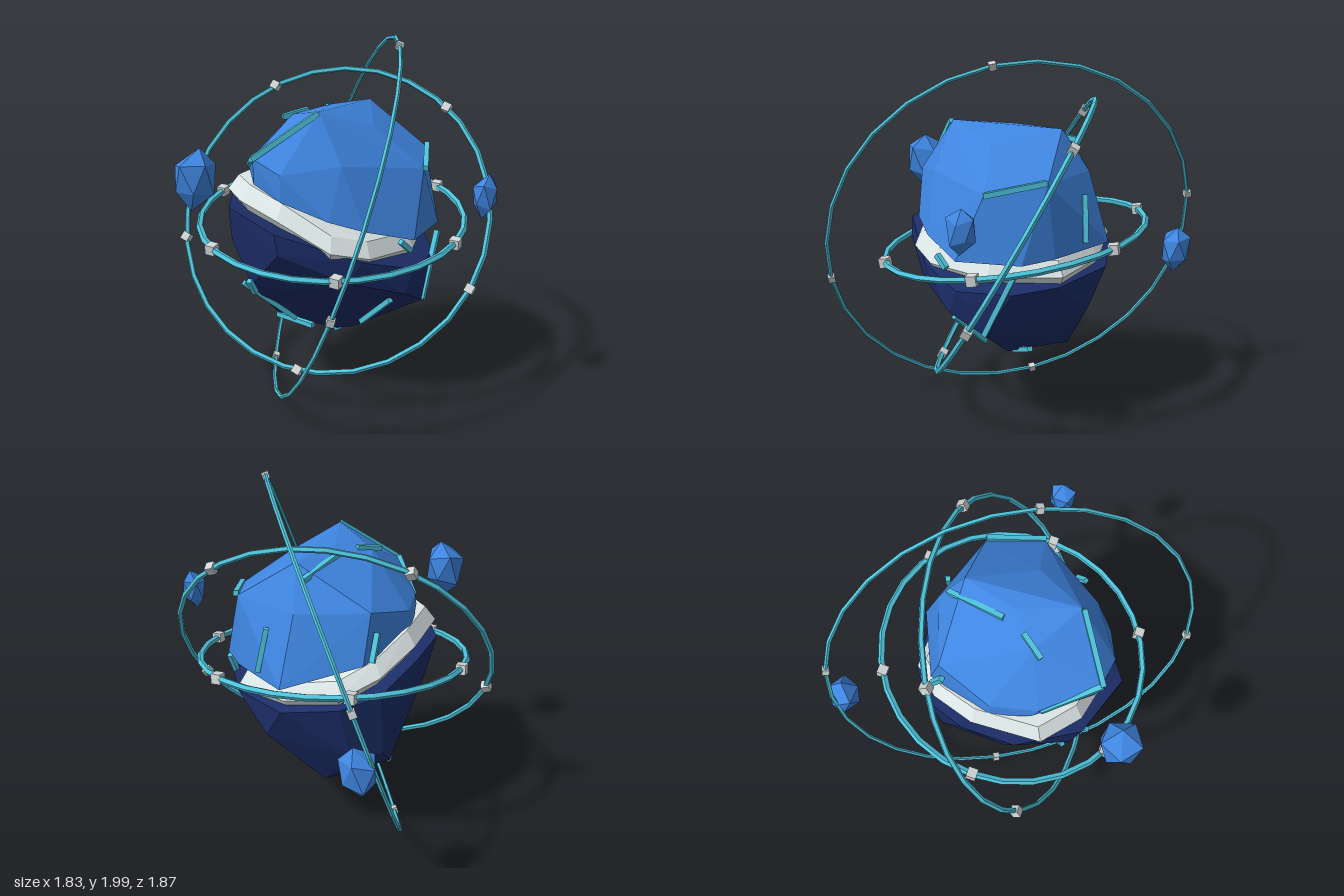
import * as THREE from 'three';
import { ConvexGeometry } from 'three/addons/geometries/ConvexGeometry.js';

const mat = (name, color) => {
  const m = new THREE.MeshStandardMaterial({ color });
  m.name = name;
  return m;
};
const V = (a) => new THREE.Vector3(...a);

export function createModel() {
  const blue = mat('bright blue', 0x3f86e2);
  const navy = mat('deep navy', 0x1c2d68);
  const pale = mat('pale core', 0xdfe9ea);
  const cyan = mat('cyan', 0x4ec4dc);
  const grey = mat('node grey', 0xd0d6d6);

  const model = new THREE.Group();
  model.name = 'splitOrb';

  const add = (parent, name, geometry, material) => {
    const mesh = new THREE.Mesh(geometry, material);
    mesh.name = name;
    parent.add(mesh);
    return mesh;
  };
  const hull = (points) => new ConvexGeometry(points.map(V));
  const faceted = (geometry) => {
    const g = geometry.toNonIndexed();
    g.computeVertexNormals();
    return g;
  };

  // Upper half: rim of the cut, shoulder, then crown
  const upper = hull([
    [-0.44, 1.28, 0.22], [-0.23, 1.28, 0.5], [-0.04, 1.22, 0.55], [0.2, 1.13, 0.48],
    [0.35, 1.07, 0.37], [0.53, 0.99, 0.15], [0.52, 0.99, -0.2], [0.38, 1.0, -0.34],
    [0.03, 1.02, -0.55], [-0.36, 1.15, -0.37], [-0.49, 1.22, 0],
    [-0.42, 1.33, 0.25], [-0.22, 1.42, 0.52], [-0.04, 1.36, 0.55], [0.22, 1.4, 0.38],
    [0.51, 1.34, 0], [0.39, 1.39, -0.3], [0.0, 1.4, -0.43], [-0.37, 1.42, -0.3], [-0.47, 1.33, 0],
    [0.06, 1.655, 0.32], [-0.04, 1.635, 0], [0.05, 1.625, -0.29], [-0.2, 1.59, 0.15],
    [0.24, 1.55, 0.05],
  ]);
  // The underside of the cut is navy
  const normals = upper.attributes.normal;
  for (let i = 0; i < normals.count; i += 3) {
    upper.addGroup(i, 3, normals.getY(i) < -0.6 ? 1 : 0);
  }
  add(model, 'upperShell', upper, [blue, navy]);

  // Pale core in the gap: a rim resting on the lower half, tapering up and down inside both halves
  const coreRim = [
    [-0.54, 1.17, -0.08], [-0.53, 1.17, 0.3], [-0.34, 1.17, 0.47], [-0.08, 1.11, 0.53],
    [0.22, 0.97, 0.5], [0.37, 0.92, 0.35], [0.46, 0.89, 0], [0.36, 0.9, -0.38],
    [0.03, 0.93, -0.5], [-0.28, 1.0, -0.49], [-0.44, 1.08, -0.33],
  ];
  add(model, 'core', hull(coreRim.flatMap(([x, y, z]) => [
    [x, y, z], [x * 0.9, y + 0.08, z * 0.9], [x * 0.85, y - 0.12, z * 0.85],
  ])), pale);

  // Lower half: rim, waist, then the pointed base
  add(model, 'lowerShell', hull([
    [-0.58, 1.13, 0.17], [-0.57, 1.12, -0.12], [-0.46, 1.0, -0.37], [-0.28, 0.94, -0.5],
    [0.03, 0.88, -0.54], [0.38, 0.85, -0.36], [0.52, 0.83, -0.15], [0.53, 0.83, 0.15],
    [0.35, 0.91, 0.39], [0.2, 0.97, 0.48], [-0.04, 1.07, 0.62], [-0.4, 1.13, 0.49],
    [-0.55, 0.94, 0.1], [-0.42, 0.93, 0.44], [-0.02, 0.96, 0.62], [0.27, 0.8, 0.43],
    [0.53, 0.77, 0.08], [0.5, 0.7, 0.2], [0.52, 0.6, 0], [0.15, 0.68, -0.47], [-0.32, 0.63, -0.42],
    [-0.46, 0.62, -0.31], [0.0, 0.7, 0.44], [-0.28, 0.7, 0.47],
    [-0.38, 0.35, 0.04], [-0.03, 0.31, 0], [-0.12, 0.36, -0.3], [0.1, 0.35, 0],
  ]), navy);

  // Glowing strips lying along facet edges
  const strips = [
    [[0.06, 1.65, 0.33], [-0.22, 1.42, 0.53]], [[-0.22, 1.42, 0.53], [-0.41, 1.31, 0.26]],
    [[0.4, 1.4, -0.3], [0.52, 1.34, 0]], [[-0.14, 1.61, 0.08], [-0.23, 1.58, 0.2]],
    [[-0.02, 1.56, -0.36], [-0.09, 1.61, -0.04]], [[0.2, 1.05, -0.46], [0.15, 1.3, -0.44]],
    [[-0.4, 1.17, -0.35], [-0.4, 1.31, -0.28]], [[0.5, 1.01, 0.26], [0.53, 0.95, 0.2]],
    [[0.52, 0.6, 0], [0.53, 0.95, -0.17]], [[0.42, 0.65, 0.2], [0.2, 0.44, 0.1]],
    [[-0.03, 0.31, 0], [0.2, 0.42, -0.16]], [[-0.38, 0.35, 0.05], [-0.1, 0.36, 0.12]],
    [[-0.38, 0.67, 0.4], [-0.2, 0.4, 0.15]], [[-0.27, 0.74, 0.51], [-0.27, 0.65, 0.45]],
  ];
  for (const [a, b] of strips) {
    const p = V(a), q = V(b);
    const strip = add(model, 'glowStrip', new THREE.BoxGeometry(0.028, 0.028, p.distanceTo(q)), cyan);
    strip.position.copy(p).lerp(q, 0.5);
    strip.lookAt(q);
  }

  // Orbit rings, each with evenly spaced cube nodes
  const rings = [
    { name: 'innerRing', r: 0.74, tube: 0.019, nodes: 6, size: 0.054, axis: [0.064, 1, 0.14], start: [1, -0.064, 0] },
    { name: 'middleRing', r: 0.88, tube: 0.016, nodes: 5, size: 0.048, axis: [0.206, 0.587, 1], start: [0.825, -0.29, 0] },
    { name: 'outerRing', r: 1.043, tube: 0.012, nodes: 4, size: 0.038, axis: [0.878, -0.359, -0.54], start: [0.395, 0.965, 0] },
  ];
  for (const { name, r, tube, nodes, size, axis, start } of rings) {
    const ring = new THREE.Group();
    ring.name = name;
    const n = V(axis).normalize(), u = V(start).normalize();
    const v = n.clone().cross(u).normalize();
    u.copy(v).cross(n);
    ring.quaternion.setFromRotationMatrix(new THREE.Matrix4().makeBasis(u, v, n));
    ring.position.set(-0.038, 1.003, 0);
    add(ring, 'band', faceted(new THREE.TorusGeometry(r, tube, 5, 28)), cyan);
    for (let i = 0; i < nodes; i++) {
      const a = (i / nodes) * Math.PI * 2;
      const node = add(ring, 'node', new THREE.BoxGeometry(size, size, size), grey);
      node.position.set(r * Math.cos(a), r * Math.sin(a), 0);
    }
    model.add(ring);
  }

  // Floating crystals: two twisted five-sided rings between two tips
  const crystals = [
    { at: [-0.455, 1.325, 0.695], size: [0.108, 0.165, 0.112], turn: 0.4 },
    { at: [0.85, 1.235, 0], size: [0.064, 0.118, 0.074], turn: 1.3 },
    { at: [-0.53, 0.85, -0.855], size: [0.098, 0.142, 0.084], turn: 2.2 },
  ];
  for (const { at, size, turn } of crystals) {
    const points = [[0.25, 1, -0.1], [-0.15, -1, 0.2]];
    for (let i = 0; i < 5; i++) {
      const a = turn + (i / 5) * Math.PI * 2, b = a + Math.PI / 5;
      const lift = 0.12 * Math.sin(i * 2.4 + turn);
      points.push([Math.cos(a), 0.5 + lift, Math.sin(a)]);
      points.push([0.93 * Math.cos(b), -0.38 + lift, 0.93 * Math.sin(b)]);
    }
    const crystal = add(model, 'crystal', hull(points.map((p) => p.map((c, k) => c * size[k]))), blue);
    crystal.position.set(...at);
  }

  return model;
}
